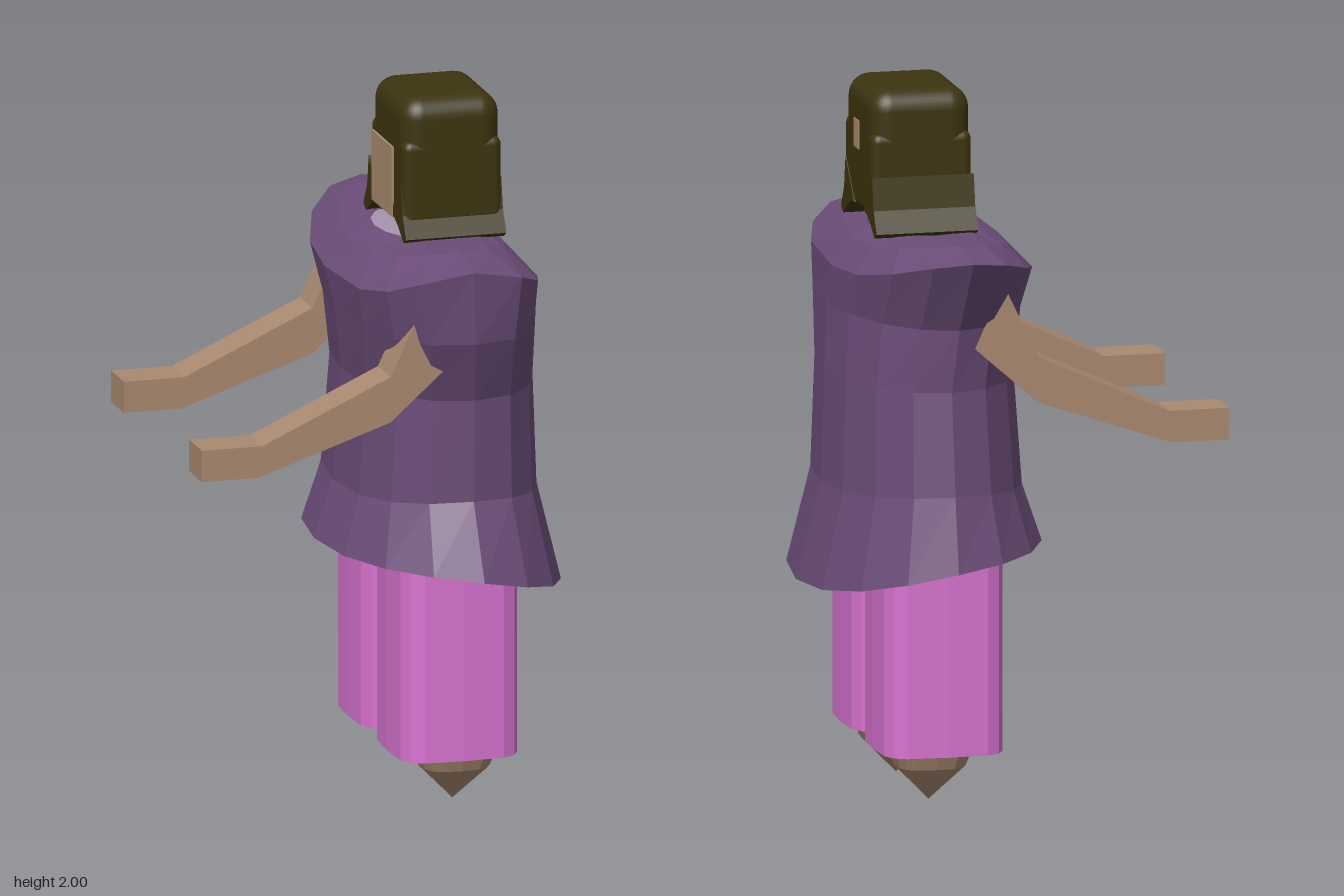
import * as THREE from 'three';
import { RoundedBoxGeometry } from 'three/addons/geometries/RoundedBoxGeometry.js';

const mat = (name, color, extra = {}) => {
  const m = new THREE.MeshStandardMaterial({ color, ...extra });
  m.name = name;
  return m;
};

// Skin a stack of rounded-square rings, bottom to top.
// Row: x0, x1, z0, z1 extents, nF / nB corner squareness towards +z / -z,
// y(c) height, where c runs from -1 at the -x side to +1 at the +x side.
function loft(rows, seg = 16) {
  const pos = [], index = [];
  const power = (v, n) => Math.sign(v) * Math.pow(Math.abs(v), 2 / n);
  for (const r of rows) {
    for (let i = 0; i < seg; i++) {
      const a = (i / seg) * Math.PI * 2;
      const n = Math.sin(a) >= 0 ? r.nF : r.nB;
      const c = power(Math.cos(a), n), s = power(Math.sin(a), n);
      pos.push(
        (r.x0 + r.x1) / 2 + c * (r.x1 - r.x0) / 2,
        typeof r.y === 'function' ? r.y(c) : r.y,
        (r.z0 + r.z1) / 2 + s * (r.z1 - r.z0) / 2
      );
    }
  }
  for (let j = 0; j < rows.length - 1; j++) {
    for (let i = 0; i < seg; i++) {
      const a = j * seg + i, b = j * seg + (i + 1) % seg;
      index.push(a, a + seg, b, b, a + seg, b + seg);
    }
  }
  const g = new THREE.BufferGeometry();
  g.setAttribute('position', new THREE.Float32BufferAttribute(pos, 3));
  g.setIndex(index);
  const flat = g.toNonIndexed();
  flat.computeVertexNormals();
  return flat;
}

const row = (y, x0, x1, z0, z1, nF = 2.3, nB = 2.1) => ({ y, x0, x1, z0, z1, nF, nB });
// Square ring around a centre
const ring = (y, x, z, r, n) => row(y, x - r, x + r, z - r, z + r, n, n);

// Prism from a closed outline of [u, v] points
function prism(points, depth) {
  const shape = new THREE.Shape(points.map(p => new THREE.Vector2(...p)));
  return new THREE.ExtrudeGeometry(shape, { depth, bevelEnabled: false });
}

export function createModel() {
  const group = new THREE.Group();
  const purple = mat('purple cloth', 0x6b4d78, { flatShading: true, side: THREE.DoubleSide });
  const pink = mat('pink trousers', 0xd873d0, { flatShading: true });
  const skin = mat('skin', 0xaa8a70, { flatShading: true });
  const hairMat = mat('dark hair', 0x3d340f);
  const add = (name, geometry, material, x = 0, y = 0, z = 0) => {
    const m = new THREE.Mesh(geometry, material);
    m.name = name;
    m.position.set(x, y, z);
    group.add(m);
    return m;
  };

  // Loose tunic, with a slanted hem and wide shoulders
  add('tunic', loft([
    row(c => 0.70 - 0.06 * c - 0.04 * c * c, -0.11, 0.565, -0.50, 0.56, 2.1, 2.1),
    row(c => 0.91 - 0.03 * c * c, -0.05, 0.50, -0.45, 0.46),
    row(1.20, -0.03, 0.485, -0.42, 0.46),
    row(1.38, -0.055, 0.475, -0.44, 0.53, 2.5, 2),
    row(c => 1.59 - 0.1 * c * c, -0.07, 0.47, -0.56, 0.545, 3.2, 2),
    row(c => 1.615 - 0.05 * c * c, 0.0, 0.41, -0.42, 0.40, 2.4, 2),
    row(1.60, 0.07, 0.36, -0.19, 0.21, 2, 2),
  ]), purple);

  // Trouser legs and pointed feet
  for (const [side, z] of [['left', 0.225], ['right', -0.16]]) {
    add(side + 'Leg', loft([
      ring(0.15, 0.217, z, 0.11, 3),
      ring(0.15, 0.217, z, 0.175, 4.5),
      ring(0.95, 0.217, z, 0.175, 4.5),
      ring(0.95, 0.217, z, 0, 4.5),
    ]), pink);
    add(side + 'Foot', loft([
      ring(0, 0.232, z, 0, 3),
      ring(0.10, 0.232, z, 0.098, 3),
      ring(0.17, 0.232, z, 0.125, 3),
    ]), skin);
  }
  add('hips', new THREE.BoxGeometry(0.34, 0.2, 0.5), pink, 0.22, 0.87, 0.03);

  // Bent arms reaching forward
  const arm = prism([
    [-0.565, 1.03], [-0.40, 1.03], [-0.02, 1.16], [0.16, 1.32],
    [0.08, 1.50], [-0.02, 1.29], [-0.39, 1.12], [-0.565, 1.12],
  ], 0.125);
  add('leftArm', arm, skin, 0, 0, 0.35);
  add('rightArm', arm, skin, 0, 0, -0.418);

  // Neck
  add('neck', new THREE.CylinderGeometry(0.065, 0.075, 0.25, 8), skin, 0.23, 1.57, 0.035);

  // Boxy hair with a face opening and a small gap at the back
  add('hair', new RoundedBoxGeometry(0.285, 0.36, 0.335, 4, 0.06), hairMat, 0.243, 1.82, 0.032);
  add('hairSides', new RoundedBoxGeometry(0.285, 0.24, 0.335, 3, 0.025), hairMat, 0.243, 1.76, 0.032);
  add('face', new THREE.BoxGeometry(0.009, 0.2, 0.2), skin, 0.098, 1.745, 0.0);
  add('hairGap', new THREE.BoxGeometry(0.008, 0.08, 0.055), skin, 0.385, 1.85, 0.048);

  // Flared lower locks on both sides
  for (const s of [1, -1]) {
    const outline = [[0.163, 1.76], [0.06, 1.65], [0.10, 1.645], [0.135, 1.63], [0.19, 1.595], [0.215, 1.61], [0.18, 1.67]];
    const lock = prism(outline.map(([u, v]) => [-s * u, v]), 0.29);
    lock.rotateY(Math.PI / 2);
    add(s > 0 ? 'leftLock' : 'rightLock', lock, hairMat, 0.098, 0, s > 0 ? 0.012 : 0.022);
  }
  return group;
}
